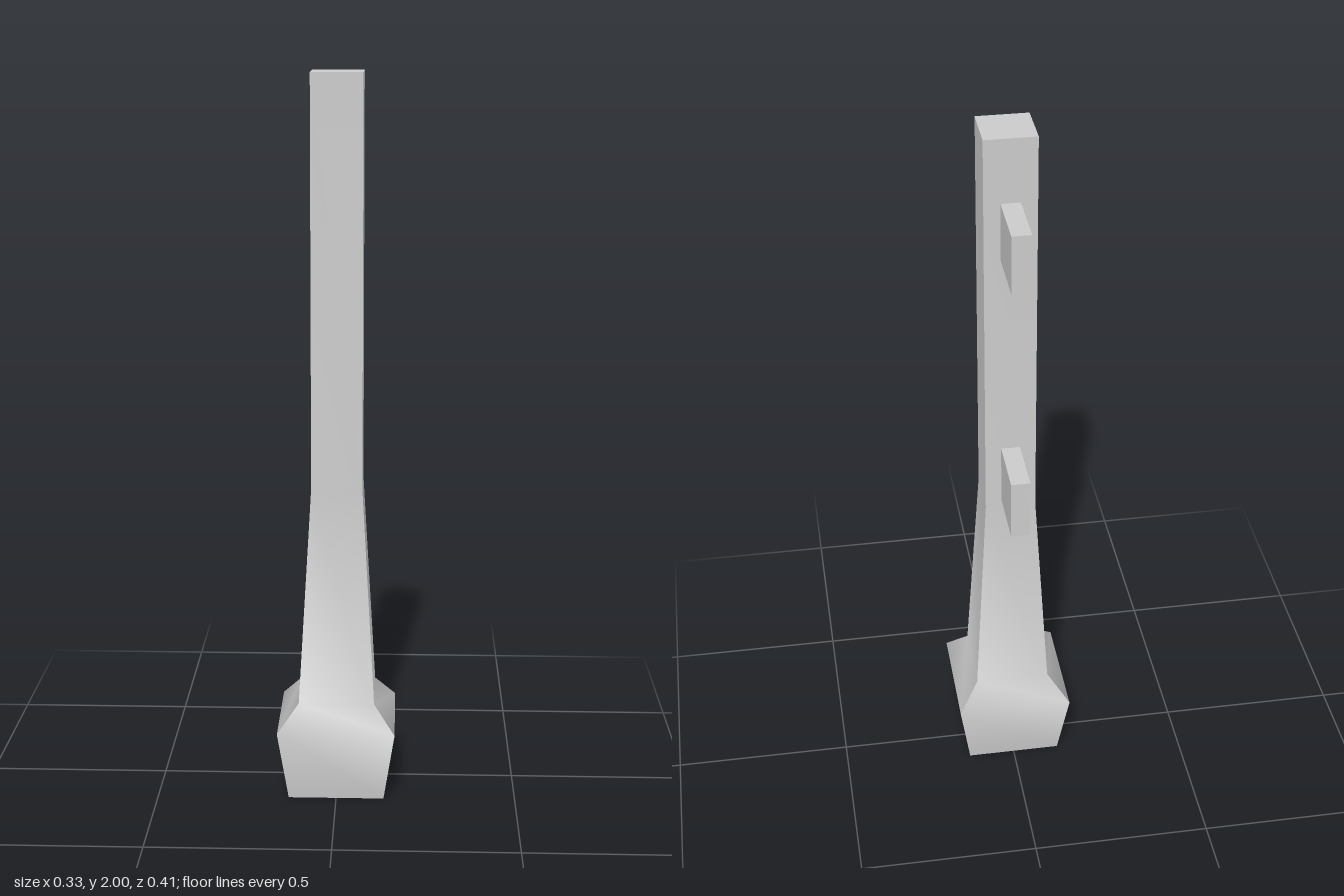
import * as THREE from 'three';
import { toCreasedNormals } from 'three/addons/utils/BufferGeometryUtils.js';

const POST_Z = 0.038;

export function createModel() {
  const model = new THREE.Group();
  const material = new THREE.MeshStandardMaterial({ color: 0xcccccc });

  // Square post with flared foot: [half width, height], closed at both ends
  const profile = [[0, 0], [0.133, 0], [0.163, 0.2], [0.105, 0.27], [0.07, 0.88], [0.07, 2], [0, 2]]
    .map(([half, y]) => new THREE.Vector2(half * Math.SQRT2, y));
  const lathe = new THREE.LatheGeometry(profile, 4, Math.PI / 4);
  // Smooth along each side, sharp at the four corners and the caps
  const post = new THREE.Mesh(toCreasedNormals(lathe, Math.PI / 3), material);
  post.name = 'post';
  post.position.z = POST_Z;
  model.add(post);

  // Two rail brackets on the back: [name, bottom, top]
  const back = -0.205, front = -0.028;
  for (const [name, bottom, top] of [['lowerBracket', 0.903, 1.075], ['upperBracket', 1.66, 1.822]]) {
    const bracket = new THREE.Mesh(new THREE.BoxGeometry(0.052, top - bottom, front - back), material);
    bracket.name = name;
    bracket.position.set(0, (top + bottom) / 2, (front + back) / 2);
    model.add(bracket);
  }

  return model;
}
